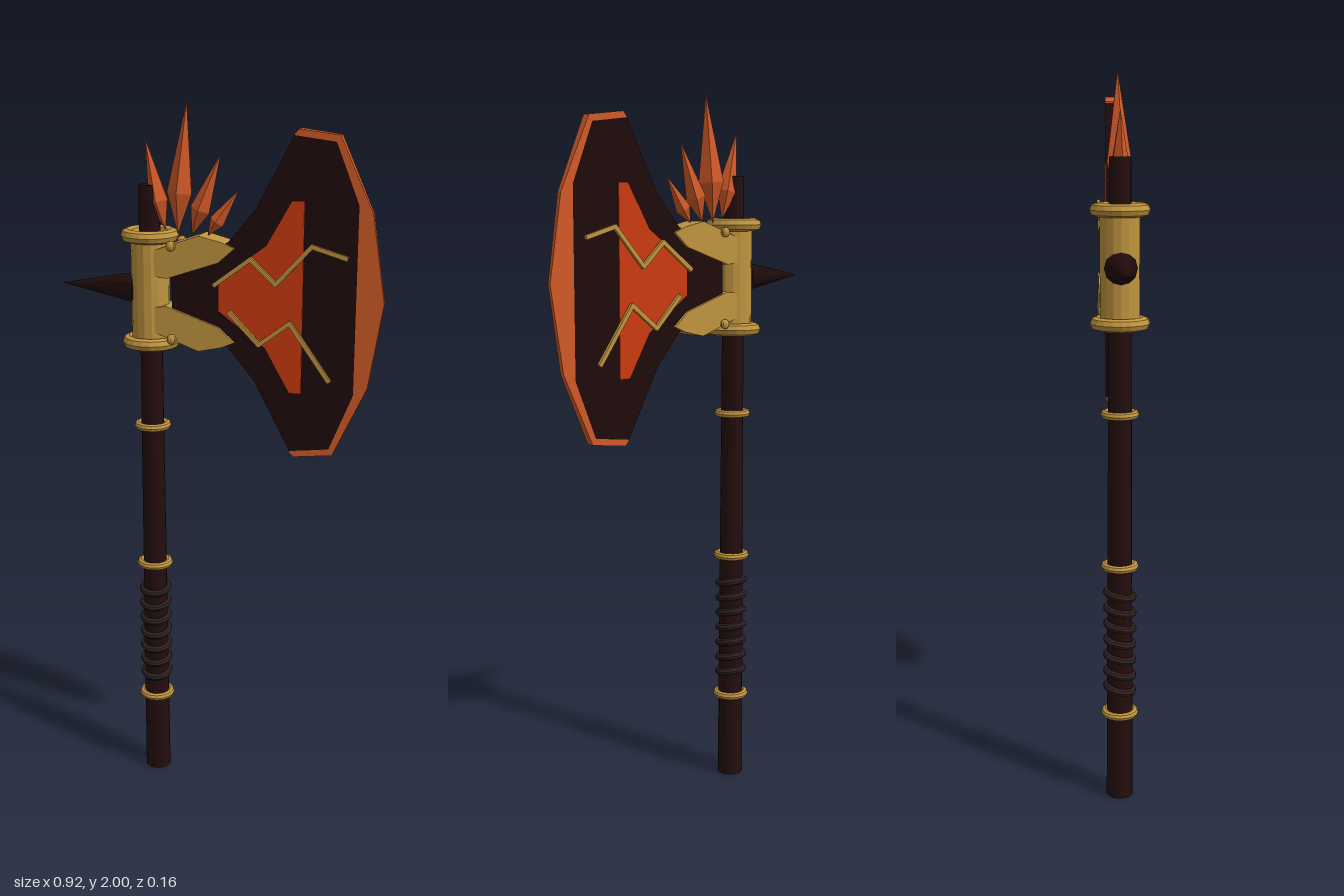
import * as THREE from 'three';

const flat = (name, color) => Object.assign(new THREE.MeshStandardMaterial({ color, flatShading: true }), { name });
const MAT = {
  wood: flat('dark wood', 0x240d0d),
  wrap: flat('grip wrap', 0x2e2220),
  gold: flat('gold', 0xc0943f),
  steel: flat('dark blade', 0x1f0a0a),
  edge: flat('orange crystal', 0xd25a28),
  ember: flat('ember red', 0xcc3a10),
};
const AXIS_X = -0.196; // shaft axis
const MID = 1.497; // height of the blade's mirror line

export function createModel() {
  const model = new THREE.Group();
  const add = (name, geometry, material, x = 0, y = 0, z = 0) => {
    const mesh = new THREE.Mesh(geometry, material);
    mesh.name = name;
    mesh.position.set(x, y, z);
    model.add(mesh);
    return mesh;
  };

  // Half thickness of the blade wedge, thinning towards the cutting edge
  const half = (x) => 0.0277 - 0.052 * x;
  // Wedge-shaped slab from an outline, standing "proud" of the blade surface
  const slab = (points, proud) => {
    const shape = new THREE.Shape(points.map(([x, y]) => new THREE.Vector2(x, y)));
    const geo = new THREE.ExtrudeGeometry(shape, { depth: 1, bevelEnabled: false });
    const p = geo.attributes.position;
    for (let i = 0; i < p.count; i++) {
      p.setZ(i, (p.getZ(i) > 0.5 ? 1 : -1) * (half(p.getX(i)) + proud));
    }
    geo.computeVertexNormals();
    return geo;
  };
  const flip = (points) => points.map(([x, y]) => [x, 2 * MID - y]).reverse();
  const symmetric = (upper) => [...upper, ...flip(upper)];

  // Shaft
  add('shaft', new THREE.CylinderGeometry(0.029, 0.037, 1.78, 16), MAT.wood, AXIS_X, 0.89, 0);

  // Horizontal rings: small bands on the shaft, heavy collars on the socket
  const ring = (name, y, radius, tube, material, tilt = 0) => {
    const mesh = add(name, new THREE.TorusGeometry(radius, tube, 8, 20), material, AXIS_X, y, 0);
    mesh.rotation.x = Math.PI / 2 + tilt;
  };
  for (const y of [0.25, 0.68, 1.105]) ring('shaftBand', y, 0.041, 0.011, MAT.gold);
  for (const y of [1.35, 1.645]) ring('socketCollar', y, 0.062, 0.018, MAT.gold);

  // Grip wraps, slightly tilted
  for (let i = 0; i < 7; i++) ring('gripWrap', 0.322 + i * 0.046, 0.037, 0.0105, MAT.wrap, 0.2);

  // Socket and rear spike
  add('socket', new THREE.CylinderGeometry(0.053, 0.053, 0.3, 16), MAT.gold, AXIS_X, MID, 0);
  const spike = add('rearSpike', new THREE.ConeGeometry(0.044, 0.225, 12), MAT.steel, -0.3475, MID, 0);
  spike.rotation.z = Math.PI / 2;

  // Blade body
  const rim = [[0.21, 1.922], [0.32, 1.908], [0.383, 1.75]];
  add('blade', slab(symmetric([[-0.122, 1.56], [0.035, 1.64], [0.11, 1.73], ...rim]), 0), MAT.steel);

  // Cutting edge wrapped around the front of the blade
  const outer = [[0.21, 1.925], [0.222, 1.938], [0.33, 1.925], [0.42, 1.73], [0.457, MID]];
  const edgeOutline = [...outer, ...flip(outer).slice(1), ...symmetric(rim).reverse()];
  add('cuttingEdge', slab(edgeOutline, 0.001), MAT.edge);

  // Glowing inlay on both faces
  add('inlay', slab(symmetric([[0.01, 1.54], [0.14, 1.635], [0.208, 1.755], [0.24, 1.755]]), 0.003), MAT.ember);

  // Upper and lower arms gripping the blade, with rivets
  const arm = [[-0.17, 1.54], [-0.135, 1.535], [0.01, 1.585], [0.055, 1.625],
    [0.02, 1.64], [-0.045, 1.655], [-0.17, 1.61]];
  add('upperArm', slab(arm, 0.008), MAT.gold);
  add('lowerArm', slab(flip(arm), 0.008), MAT.gold);
  for (const y of [1.625, 2 * MID - 1.625]) {
    for (const z of [-0.046, 0.046]) {
      const rivet = add('rivet', new THREE.SphereGeometry(0.014, 10, 8), MAT.gold, -0.12, y, z);
      rivet.scale.z = 0.75;
    }
  }

  // Zigzag gold veins standing off both faces
  const veins = [
    [[0, 1.525], [0.1, 1.6], [0.17, 1.537], [0.267, 1.642], [0.36, 1.616]],
    [[0.042, 1.452], [0.125, 1.37], [0.21, 1.435], [0.32, 1.285]],
  ];
  for (const vein of veins) {
    for (let i = 0; i < vein.length - 1; i++) {
      const [[x0, y0], [x1, y1]] = [vein[i], vein[i + 1]];
      const length = Math.hypot(x1 - x0, y1 - y0) + 0.008;
      for (const z of [-0.034, 0.034]) {
        const bar = add('vein', new THREE.BoxGeometry(length, 0.012, 0.009), MAT.gold, (x0 + x1) / 2, (y0 + y1) / 2, z);
        bar.rotation.z = Math.atan2(y1 - y0, x1 - x0);
      }
    }
  }

  // Crystal crest: base x, base y, tip x, tip y, radius
  const crystals = [
    [-0.15, 1.66, -0.205, 1.9, 0.029],
    [-0.115, 1.65, -0.087, 2.0, 0.037],
    [-0.075, 1.65, 0.007, 1.868, 0.029],
    [-0.03, 1.65, 0.057, 1.775, 0.022],
  ];
  for (const [x0, y0, x1, y1, r] of crystals) {
    const h = Math.hypot(x1 - x0, y1 - y0);
    const profile = [[0, 0], [r, h * 0.32], [0, h]].map(([x, y]) => new THREE.Vector2(x, y));
    const crystal = add('crystal', new THREE.LatheGeometry(profile, 5), MAT.edge, x0, y0, 0);
    crystal.rotation.z = -Math.atan2(x1 - x0, y1 - y0);
  }

  return model;
}
